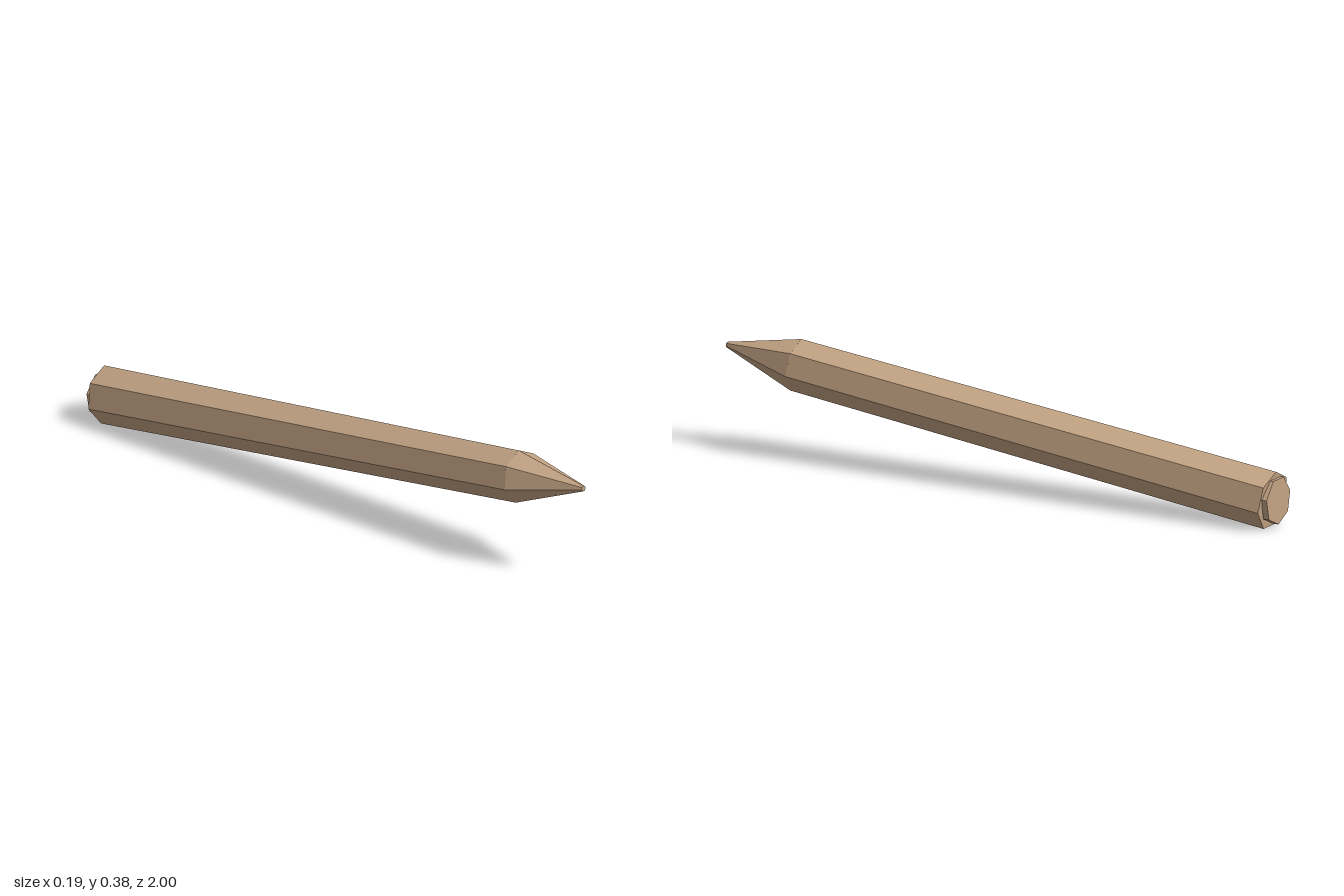
import * as THREE from 'three';

const SIDES = 7;

export function createModel() {
  const model = new THREE.Group();
  model.name = 'woodenStake';

  const wood = new THREE.MeshStandardMaterial({ color: 0xc4a484, flatShading: true });
  wood.name = 'wood';

  // Tapered seven-sided prism between two points on the centre plane
  function prism(name, from, to, rFrom, rTo, turn) {
    const axis = new THREE.Vector3().subVectors(to, from);
    const geometry = new THREE.CylinderGeometry(rTo, rFrom, axis.length(), SIDES, 1, false, turn);
    const mesh = new THREE.Mesh(geometry, wood);
    mesh.name = name;
    mesh.position.addVectors(from, to).multiplyScalar(0.5);
    mesh.rotation.x = Math.atan2(axis.z, axis.y);
    model.add(mesh);
  }

  const rear = new THREE.Vector3(0, 0.0865, -0.98);
  const shoulder = new THREE.Vector3(0, 0.297, 0.74);
  const tip = new THREE.Vector3(0, 0.328, 0.999);

  // Shaft and sharpened point share a corner edge along the top
  prism('shaft', rear, shoulder, 0.0955, 0.086, Math.PI);
  prism('point', shoulder, tip, 0.086, 0.009, Math.PI);

  // Upright end disc, turned so that its flat side is on top
  prism('endCap', new THREE.Vector3(0, 0.088, -1), new THREE.Vector3(0, 0.088, -0.98), 0.078, 0.078, 0);

  return model;
}
